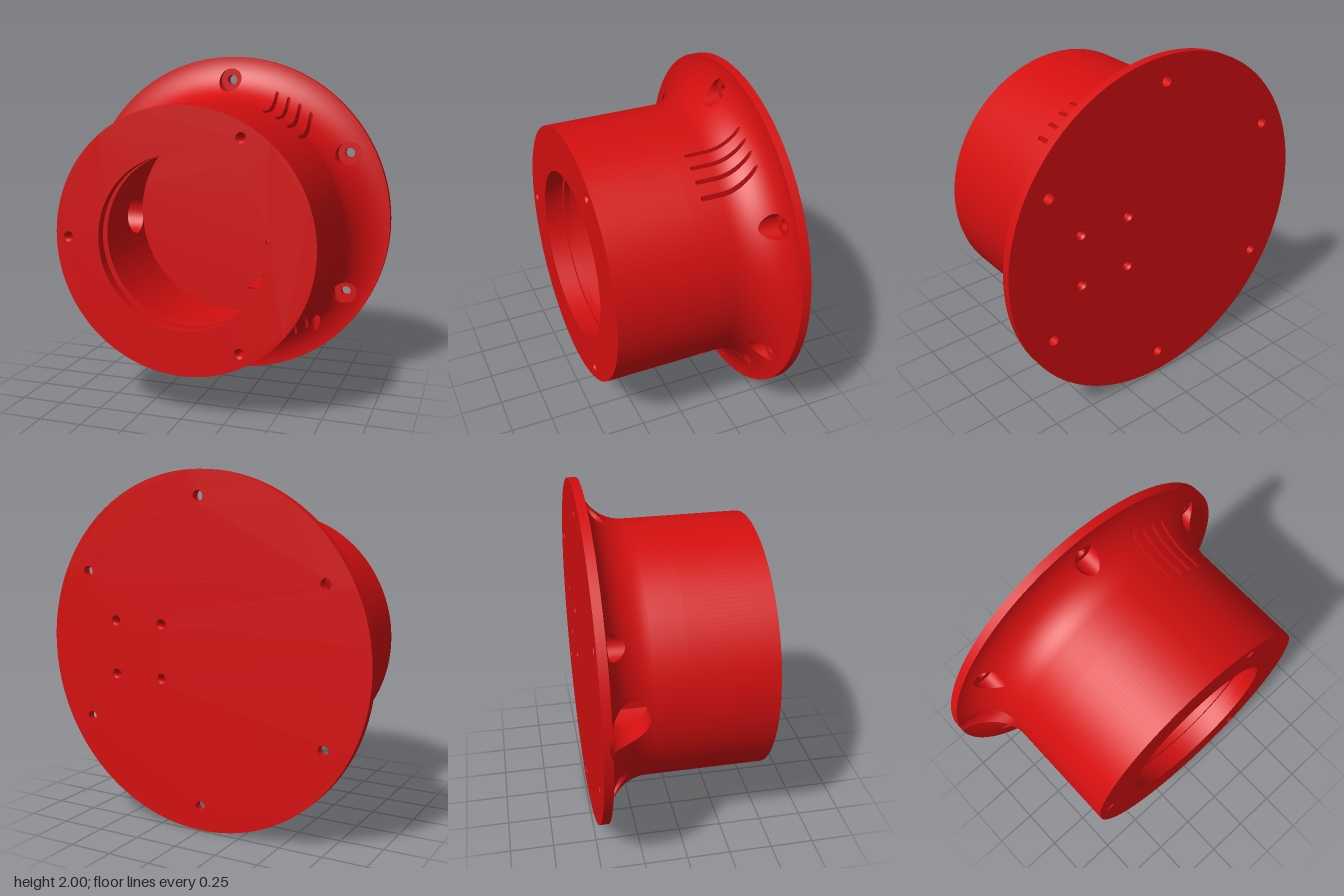
import * as THREE from 'three';
import { mergeGeometries } from 'three/addons/utils/BufferGeometryUtils.js';

// Main sizes; everything is built around the z axis and lifted at the end
const BACK = -0.49, PLATE = -0.442, FRONT = 0.49, BODY_R = 0.75, CAVITY_R = 0.62, OPENING_R = 0.49;
const FILLET = 0.25, FILLET_Z = -0.19, PAD_X = 0.215, PAD_Y = -0.36;
const polar = (r, deg) => [r * Math.cos(deg * Math.PI / 180), r * Math.sin(deg * Math.PI / 180)];

const ventXs = [0.303, 0.375, 0.445, 0.515];
const vent = { z: -0.23, half: 0.15, r: 0.01 };
const fanHoles = [[0.25, -0.07], [0.57, -0.07], [0.25, -0.39], [0.57, -0.39]];
const boltHoles = [30, 90, 150, 210, 270, 330].map(a => polar(0.86, a));
const faceScrews = [60, 180, 300].map(a => polar(0.675, a));
const floorScrews = [[0.245, 0.155], [0.245, -0.155], [0.555, 0.155], [0.555, -0.155]];
const channel = { z: -0.33, r: 0.125 };

// Distance to the nearest cut-out; negative inside it
function cutDistance(x, y, z) {
  let d = 1;
  for (const vx of ventXs) {
    d = Math.min(d, Math.hypot(x - vx, Math.max(Math.abs(z - vent.z) - vent.half, 0)) - vent.r);
  }
  if (y < 0) for (const [hx, hz] of fanHoles) d = Math.min(d, Math.hypot(x - hx, z - hz) - 0.028);
  for (const [hx, hy] of boltHoles) d = Math.min(d, Math.hypot(x - hx, y - hy) - 0.07);
  if (x < 0) d = Math.min(d, Math.hypot(y, z - channel.z) - channel.r);
  return d;
}

// Outer radius at depth z, and depth inside the wall material
function outerRadius(z) {
  if (z > FILLET_Z) return BODY_R;
  if (z <= FILLET_Z - FILLET) return 1;
  return 1 - Math.sqrt(FILLET ** 2 - (z - FILLET_Z) ** 2);
}
function inMaterial(x, y, z) {
  const r = Math.hypot(x, y);
  const pad = x > PAD_X ? PAD_Y - y : -1;
  return Math.min(outerRadius(z) - r, Math.max(r - CAVITY_R, pad));
}

// Trim a geometry to the region where keep(x, y, z) is positive
function trim(geometry, keep) {
  const g = geometry.index ? geometry.toNonIndexed() : geometry;
  const p = g.attributes.position, n = g.attributes.normal;
  const pos = [], nor = [];
  for (let i = 0; i < p.count; i += 3) {
    const tri = [0, 1, 2].map(k => {
      const j = i + k, v = [p.getX(j), p.getY(j), p.getZ(j)];
      return [...v, n.getX(j), n.getY(j), n.getZ(j), keep(...v)];
    });
    const poly = [];
    tri.forEach((a, k) => {
      const b = tri[(k + 1) % 3];
      if (a[6] >= 0) poly.push(a);
      if ((a[6] >= 0) !== (b[6] >= 0)) {
        const t = a[6] / (a[6] - b[6]);
        poly.push(a.map((v, m) => v + (b[m] - v) * t));
      }
    });
    for (let k = 1; k + 1 < poly.length; k++) {
      for (const v of [poly[0], poly[k], poly[k + 1]]) {
        pos.push(v[0], v[1], v[2]);
        nor.push(v[3], v[4], v[5]);
      }
    }
  }
  const out = new THREE.BufferGeometry();
  out.setAttribute('position', new THREE.Float32BufferAttribute(pos, 3));
  out.setAttribute('normal', new THREE.Float32BufferAttribute(nor, 3));
  return out;
}

// Smooth surface of revolution about z from [radius, z] points
function turned(points, segments) {
  return new THREE.LatheGeometry(points.map(q => new THREE.Vector2(...q)), segments).rotateX(Math.PI / 2);
}
// Same, with a sharp edge at every point
function stepped(points, segments) {
  return mergeGeometries(points.slice(1).map((q, i) => turned([points[i], q], segments)));
}
function line(r, z0, z1, n) {
  return Array.from({ length: n + 1 }, (_, i) => [r, z0 + (z1 - z0) * i / n]);
}

// Flat disc with round holes given as [x, y, radius]
function disc(radius, z, holes) {
  const shape = new THREE.Shape().absarc(0, 0, radius, 0, Math.PI * 2);
  for (const [x, y, r] of holes) shape.holes.push(new THREE.Path().absarc(x, y, r, 0, Math.PI * 2, true));
  return new THREE.ShapeGeometry(shape, 96).translate(0, 0, z);
}

// Inner walls of a round or slot-shaped cut running along one axis
function cutWall(axis, a, b, half, r, from, to, around) {
  const outline = new THREE.Shape().absarc(0, half, r, 0, Math.PI).absarc(0, -half, r, Math.PI, Math.PI * 2);
  outline.closePath();
  const loop = outline.getSpacedPoints(around);
  const g = new THREE.PlaneGeometry(1, 1, around, 24);
  const p = g.attributes.position;
  for (let i = 0; i < p.count; i++) {
    const q = loop[Math.round((p.getX(i) + 0.5) * around)];
    const u = a + q.x, v = b + q.y, h = from + (to - from) * (p.getY(i) + 0.5);
    if (axis === 'x') p.setXYZ(i, h, u, v);
    else if (axis === 'y') p.setXYZ(i, u, h, v);
    else p.setXYZ(i, u, v, h);
  }
  g.computeVertexNormals();
  return trim(g, inMaterial);
}

export function createModel() {
  const red = new THREE.MeshStandardMaterial({ color: 0xd40f10, side: THREE.DoubleSide });
  red.name = 'red';
  const model = new THREE.Group();
  model.name = 'flangedHousing';
  const add = (name, geometry) => {
    const mesh = new THREE.Mesh(geometry, red);
    mesh.name = name;
    mesh.position.y = 1;
    model.add(mesh);
  };
  const withR = (list, r) => list.map(([x, y]) => [x, y, r]);

  // Outer barrel flaring into the flange, with all cut-outs
  const flare = Array.from({ length: 25 }, (_, i) => {
    const t = i / 24 * Math.PI / 2;
    return [1 - FILLET * Math.cos(t), FILLET_Z - FILLET * Math.sin(t)];
  });
  add('barrel', turned([[BODY_R, 0], [BODY_R, FRONT]], 192));
  add('ventedBarrel', trim(turned(line(BODY_R, FILLET_Z, 0, 10), 600), cutDistance));
  add('flare', trim(turned(flare.reverse(), 600), cutDistance));
  add('flangeRim', trim(turned(line(1, BACK, FILLET_Z - FILLET, 4), 300), cutDistance));

  // Flat faces
  add('frontFace', disc(BODY_R, FRONT, [[0, 0, OPENING_R], ...withR(faceScrews, 0.03)]));
  add('backFace', disc(1, BACK, [...withR(boltHoles, 0.03), ...withR(floorScrews, 0.03)]));
  add('cavityFloor', disc(CAVITY_R, PLATE, withR(floorScrews, 0.02)));

  // Front opening with a retaining groove, then the wide cavity
  add('openingGroove', stepped([[OPENING_R, FRONT], [OPENING_R, 0.43], [0.52, 0.43], [0.52, 0.37],
    [OPENING_R, 0.37], [OPENING_R, 0.33], [CAVITY_R, 0.33], [CAVITY_R, 0]], 128));
  add('cavityWall', trim(turned(line(CAVITY_R, PLATE, 0, 22), 480), cutDistance));

  // Flat mounting pad over the lower vents
  const pad = new THREE.BoxGeometry(0.39, 0.28, 0.41, 60, 10, 40)
    .translate(PAD_X + 0.195, PAD_Y - 0.14, PLATE + 0.205);
  add('fanPad', trim(pad, (x, y, z) => Math.min(cutDistance(x, y, z), CAVITY_R + 0.01 - Math.hypot(x, y))));

  // Walls of the cut-outs
  for (const x of ventXs) {
    add('upperVent', cutWall('y', x, vent.z, vent.half, vent.r, 0.25, 0.9, 64));
    add('lowerVent', cutWall('y', x, vent.z, vent.half, vent.r, -0.9, -0.3, 64));
  }
  for (const [x, z] of fanHoles) add('fanHole', cutWall('y', x, z, 0, 0.028, -0.95, -0.3, 24));
  add('cableChannel', cutWall('x', 0, channel.z, 0, channel.r, -1.02, -0.55, 64));

  // Counterbored flange bolts, blind face screws and countersunk floor screws
  for (const [x, y] of boltHoles) {
    add('boltRecess', cutWall('z', x, y, 0, 0.07, PLATE, -0.25, 32));
    add('boltHole', stepped([[0.07, PLATE], [0.03, PLATE], [0.03, BACK]], 32).translate(x, y, 0));
  }
  for (const [x, y] of faceScrews) {
    add('faceScrewHole', stepped([[0.03, FRONT], [0.018, 0.475], [0.018, 0.36], [0, 0.36]], 24).translate(x, y, 0));
  }
  for (const [x, y] of floorScrews) {
    add('floorScrewHole', stepped([[0.02, PLATE], [0.02, -0.475], [0.03, BACK]], 24).translate(x, y, 0));
  }
  return model;
}
